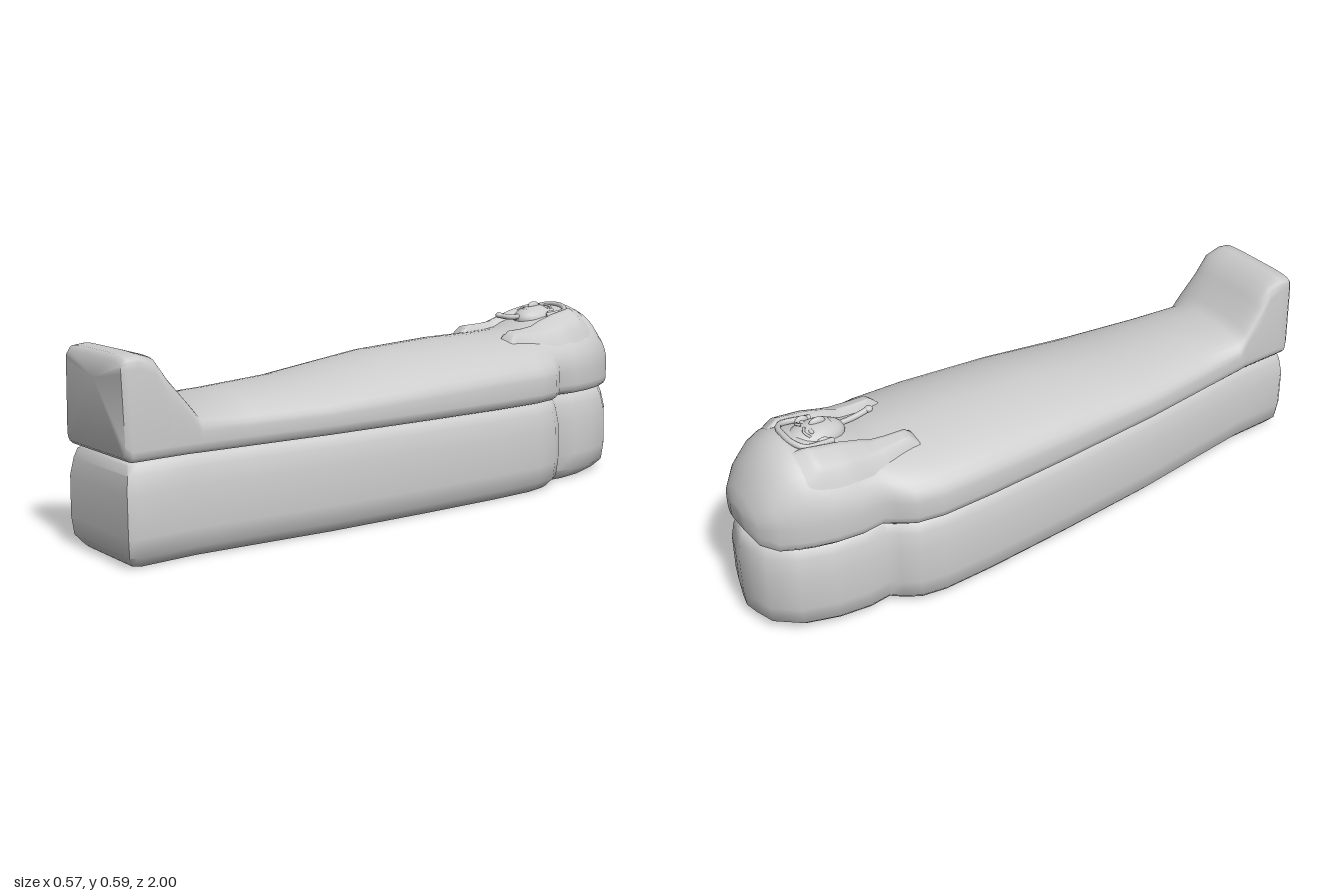
import * as THREE from 'three';
import { toCreasedNormals, mergeVertices } from 'three/addons/utils/BufferGeometryUtils.js';

const material = new THREE.MeshStandardMaterial({ color: 0xcccccc });
const sheet = new THREE.MeshStandardMaterial({ color: 0xcccccc, side: THREE.DoubleSide });
const V = (x, y, z) => new THREE.Vector3(x, y, z);

function part(name, geometry, mat = material) {
  const mesh = new THREE.Mesh(geometry, mat);
  mesh.name = name;
  return mesh;
}

// Skin closed rings of points and cap both ends
function loft(rings) {
  const n = rings[0].length, points = rings.flat(), index = [];
  for (let i = 0; i < rings.length - 1; i++) {
    for (let j = 0; j < n; j++) {
      const a = i * n + j, b = i * n + (j + 1) % n;
      index.push(a, b, b + n, a, b + n, a + n);
    }
  }
  [0, rings.length - 1].forEach((r) => {
    const centre = V(0, 0, 0);
    rings[r].forEach((p) => centre.addScaledVector(p, 1 / n));
    const c = points.push(centre) - 1;
    for (let j = 0; j < n; j++) {
      const a = r * n + j, b = r * n + (j + 1) % n;
      if (r) index.push(a, b, c); else index.push(b, a, c);
    }
  });
  const g = new THREE.BufferGeometry().setFromPoints(points);
  g.setIndex(index);
  return toCreasedNormals(g, 0.9);
}

// Chest: half outline [x, z] from foot to crown
const outline = [
  [0.163, 1], [0.177, 0.98], [0.18, 0.8], [0.204, 0.6], [0.235, 0.35], [0.262, 0],
  [0.28, -0.3], [0.283, -0.47], [0.27, -0.55], [0.238, -0.6], [0.212, -0.63],
  [0.22, -0.7], [0.208, -0.8], [0.175, -0.9], [0.115, -0.97], [0.05, -0.99],
];
// Chest layers [height, inset]
const layers = [[0, 0.04], [0.008, 0.03], [0.035, 0.006], [0.09, 0], [0.21, 0.002], [0.262, 0.012], [0.29, 0.022], [0.298, 0.035]];

function chestRing([y, inset]) {
  const side = outline.map(([x, z]) => V(x - inset * Math.min(1, x / 0.1), y, z * (1 - inset * 0.8)));
  const tip = V(0, y, -(1 - inset * 0.8));
  return [...side, tip, ...side.slice().reverse().map((p) => V(-p.x, p.y, p.z))];
}

// Lid sections [z, half width, shoulder height, top, arch exponent]
const sections = [
  [-0.985, 0.045, 0.37, 0.4, 1], [-0.97, 0.105, 0.37, 0.44, 1], [-0.93, 0.15, 0.38, 0.505, 1],
  [-0.88, 0.178, 0.38, 0.56, 1], [-0.84, 0.194, 0.38, 0.577, 1], [-0.78, 0.211, 0.38, 0.565, 1],
  [-0.7, 0.22, 0.38, 0.55, 1], [-0.63, 0.212, 0.38, 0.53, 1], [-0.6, 0.236, 0.38, 0.515, 1.05],
  [-0.55, 0.269, 0.38, 0.508, 1.1], [-0.47, 0.283, 0.38, 0.506, 1.1], [-0.3, 0.28, 0.38, 0.506, 1.1],
  [0, 0.262, 0.37, 0.495, 1.1], [0.35, 0.235, 0.36, 0.45, 1.05], [0.6, 0.205, 0.36, 0.437, 1],
  [0.77, 0.185, 0.36, 0.432, 0.9], [0.8, 0.18, 0.4, 0.457, 0.7], [0.86, 0.178, 0.46, 0.525, 0.5],
  [0.9, 0.177, 0.53, 0.577, 0.4], [0.95, 0.177, 0.55, 0.592, 0.4], [0.985, 0.175, 0.55, 0.588, 0.4],
  [1, 0.163, 0.54, 0.573, 0.4],
];

function lidRing([z, w, shoulder, top, e]) {
  const low = z < -0.98 ? 0.335 : z < -0.96 || z > 0.99 ? 0.312 : 0.3;
  const ring = [V(w * 0.93, low, z), V(w * 0.99, low + 0.012, z), V(w, low + 0.03, z)];
  const steps = 20;
  for (let i = 0; i <= steps; i++) {
    const a = (i / steps) * Math.PI, c = Math.cos(a);
    const y = shoulder + (top - shoulder) * Math.pow(Math.max(0, Math.sin(a)), e);
    const taper = z > 0.79 ? 1 - 0.5 * Math.max(0, y - 0.42) : 1;
    ring.push(V(w * Math.sign(c) * Math.pow(Math.abs(c), e) * taper, y, z));
  }
  ring.push(V(-w, low + 0.03, z), V(-w * 0.99, low + 0.012, z), V(-w * 0.93, low, z));
  return ring;
}

// Height of the lid surface at x, z
function lidHeight(x, z) {
  const k = Math.max(1, sections.findIndex((s) => s[0] >= z));
  const a = sections[k - 1], b = sections[k], t = (z - a[0]) / (b[0] - a[0]);
  const [w, shoulder, top, e] = [1, 2, 3, 4].map((i) => a[i] + (b[i] - a[i]) * t);
  const r = Math.min(1, Math.abs(x) / w);
  return shoulder + (top - shoulder) * Math.pow(1 - Math.pow(r, 2 / e), e / 2);
}

// Raised cloth fold beside the face, running down onto the chest
function lappet(side) {
  const g = new THREE.PlaneGeometry(1, 1, 10, 24);
  const p = g.attributes.position;
  for (let i = 0; i < p.count; i++) {
    const s = p.getX(i) + 0.5, t = p.getY(i) + 0.5;
    const z = -0.84 + 0.385 * t;
    const inner = 0.068 + 0.022 * t * t, outer = 0.165 + 0.055 * Math.sin(Math.PI * t) * (1 - t) - 0.015 * t;
    const x = inner + (outer - inner) * s;
    const edge = Math.min(1, 6 * s, 4 * (1 - s), 8 * t, 14 * (1 - t));
    p.setXYZ(i, side * x, lidHeight(x, z) - 0.006 + 0.03 * edge, z);
  }
  g.computeVertexNormals();
  return g;
}

function ellipsoid(name, pos, size) {
  const mesh = part(name, new THREE.SphereGeometry(1, 24, 16));
  mesh.position.set(...pos);
  mesh.scale.set(...size);
  return mesh;
}

function tube(name, points, radius) {
  const curve = new THREE.CatmullRomCurve3(points.map((p) => V(...p)));
  return part(name, new THREE.TubeGeometry(curve, 24, radius, 8));
}

export function createModel() {
  const model = new THREE.Group();
  model.name = 'sarcophagus';
  model.add(part('chest', loft(layers.map(chestRing))));
  model.add(part('lid', loft(sections.map(lidRing))));

  // Headdress
  for (const side of [1, -1]) {
    model.add(part(side > 0 ? 'leftLappet' : 'rightLappet', lappet(side), sheet));
  }
  model.add(tube('headband', [
    [-0.07, 0.55, -0.7], [-0.072, 0.562, -0.79], [-0.04, 0.572, -0.815], [0, 0.576, -0.82],
    [0.04, 0.572, -0.815], [0.072, 0.562, -0.79], [0.07, 0.55, -0.7],
  ], 0.009));

  // Face, with the chin towards the feet
  const face = new THREE.Group();
  face.name = 'face';
  face.add(ellipsoid('head', [0, 0.535, -0.725], [0.06, 0.045, 0.095]));
  face.add(ellipsoid('nose', [0, 0.577, -0.712], [0.01, 0.016, 0.026]));
  face.add(ellipsoid('mouth', [0, 0.566, -0.672], [0.018, 0.008, 0.007]));
  for (const s of [1, -1]) {
    face.add(ellipsoid('eye', [s * 0.025, 0.572, -0.745], [0.013, 0.006, 0.007]));
    face.add(ellipsoid('ear', [s * 0.066, 0.55, -0.73], [0.009, 0.018, 0.022]));
    face.add(tube('brow', [[s * 0.008, 0.579, -0.757], [s * 0.025, 0.576, -0.766], [s * 0.042, 0.565, -0.755]], 0.004));
  }
  // Long plaited beard with a rounded tip
  face.add(tube('beard', [[0, 0.545, -0.645], [0, 0.547, -0.6], [0, 0.553, -0.565], [0, 0.558, -0.545]], 0.009));
  face.add(ellipsoid('beardTip', [0, 0.558, -0.545], [0.012, 0.01, 0.013]));
  model.add(face);
  return model;
}
